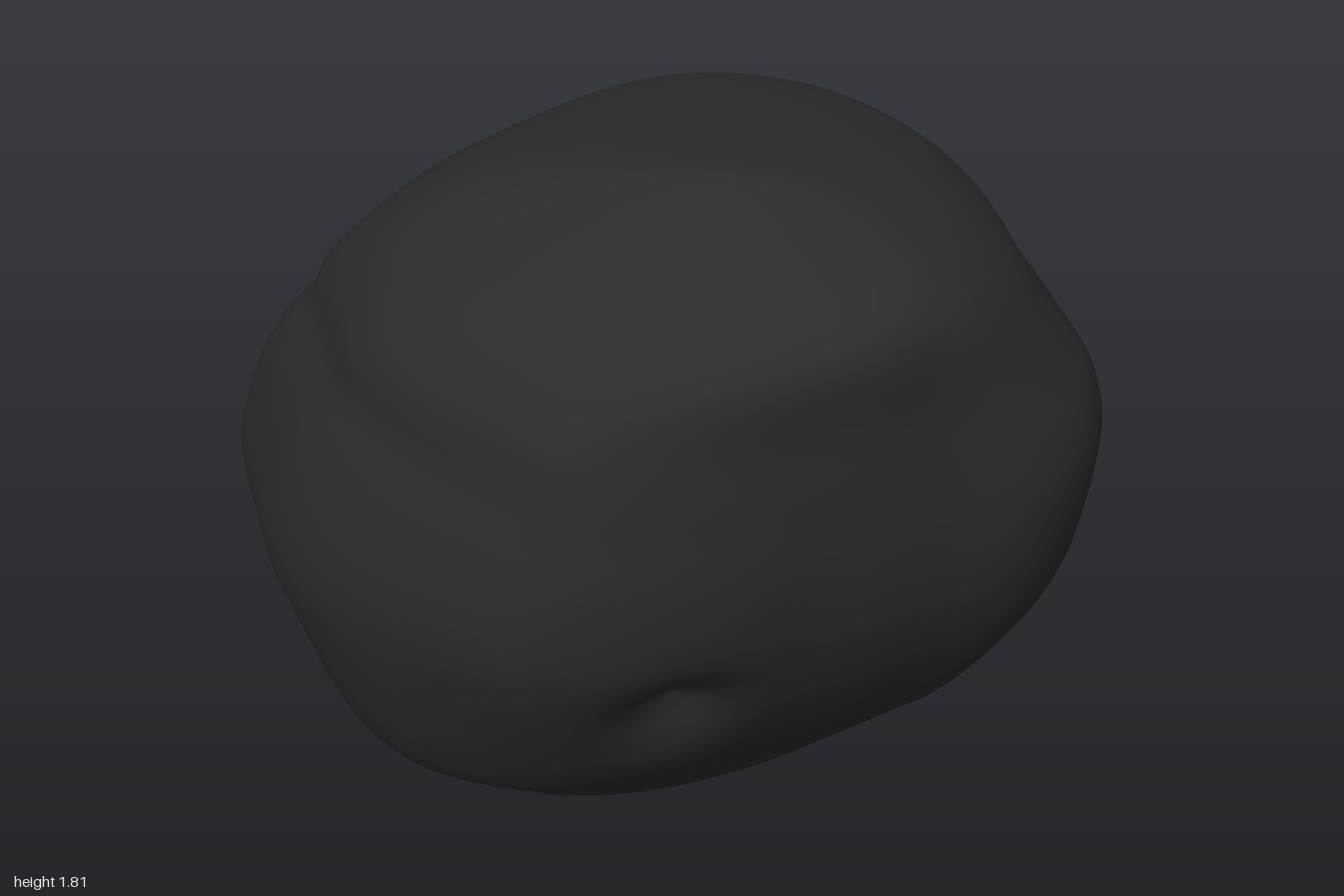
import * as THREE from 'three';

// plan outline of the boulder as x, z pairs, scaled to each level
const OUTLINE = [
  [-1, -0.05], [-0.94, -0.22], [-0.86, -0.4], [-0.78, -0.48], [-0.65, -0.63], [-0.5, -0.76],
  [-0.35, -0.82], [-0.2, -0.855], [0, -0.875], [0.2, -0.845], [0.4, -0.78], [0.6, -0.64],
  [0.8, -0.46], [0.88, -0.33], [0.95, -0.15], [1, 0], [0.98, 0.2], [0.92, 0.32], [0.85, 0.4],
  [0.7, 0.49], [0.55, 0.59], [0.4, 0.67], [0.2, 0.78], [0, 0.85], [-0.2, 0.87], [-0.3, 0.84],
  [-0.45, 0.76], [-0.6, 0.67], [-0.75, 0.54], [-0.85, 0.4], [-0.91, 0.25], [-0.97, 0.1],
];

// levels: y, left x, right x, back z, front z
const LEVELS = [
  [0, -0.1, -0.1, -0.15, -0.15], [0.01, -0.22, 0.0, -0.3, 0.03], [0.05, -0.42, 0.2, -0.42, 0.2],
  [0.1, -0.57, 0.33, -0.5, 0.3], [0.2, -0.68, 0.55, -0.62, 0.39], [0.3, -0.76, 0.69, -0.71, 0.48],
  [0.4, -0.81, 0.78, -0.76, 0.58], [0.6, -0.92, 0.9, -0.85, 0.72], [0.77, -0.99, 0.96, -0.87, 0.81],
  [0.92, -0.99, 0.985, -0.865, 0.86], [1.1, -0.93, 1, -0.83, 0.87], [1.23, -0.86, 0.97, -0.77, 0.855],
  [1.32, -0.79, 0.92, -0.72, 0.845], [1.43, -0.74, 0.85, -0.64, 0.83], [1.55, -0.63, 0.77, -0.56, 0.79],
  [1.63, -0.52, 0.68, -0.49, 0.71], [1.69, -0.4, 0.57, -0.37, 0.57], [1.75, -0.19, 0.42, -0.1, 0.44],
  [1.8, 0.03, 0.25, 0.17, 0.34], [1.81, 0.13, 0.13, 0.28, 0.28],
];

// hollows (positive depth) and swellings (negative): x, y, z, radius, depth
const DENTS = [
  [0.1, 0.67, 0.73, 0.12, 0.09],
  [0.76, 0.64, -0.47, 0.18, 0.09],
  [0.6, 1.1, 0.6, 0.26, 0.02],
  [-0.5, 0.4, 0.42, 0.34, -0.11],
  [0.5, 1.62, 0.5, 0.28, -0.05],
  [-0.42, 1.6, -0.35, 0.35, 0.045],
];

const { clamp, lerp, smoothstep } = THREE.MathUtils;

const catmull = (a, b, c, d, t) =>
  0.5 * (2 * b + (c - a) * t + (2 * a - 5 * b + 4 * c - d) * t * t + (3 * b - a - 3 * c + d) * t * t * t);

function levelAt(s) {
  const i = Math.min(Math.floor(s), LEVELS.length - 2);
  const row = (k) => LEVELS[clamp(k, 0, LEVELS.length - 1)];
  return LEVELS[0].map((_, c) => catmull(row(i - 1)[c], row(i)[c], row(i + 1)[c], row(i + 2)[c], s - i));
}

function boulderGeometry() {
  const cols = 96, rows = (LEVELS.length - 1) * 3;
  const curve = new THREE.CatmullRomCurve3(OUTLINE.map(([x, z]) => new THREE.Vector3(x, 0, z / 0.87)), true);
  const ring = curve.getSpacedPoints(cols).slice(0, cols);
  const center = new THREE.Vector3(0, 0.9, 0);
  const pos = [], index = [];

  const addPoint = (x, y, z) => {
    const p = new THREE.Vector3(x, y, z);
    let push = 0;
    for (const [dx, dy, dz, r, depth] of DENTS) {
      const d2 = (x - dx) ** 2 + (y - dy) ** 2 + (z - dz) ** 2;
      push += depth * Math.exp(-d2 / (r * r));
    }
    p.addScaledVector(center.clone().sub(p).normalize(), push);
    pos.push(p.x, p.y, p.z);
  };

  // rings between the two poles, rounder towards the ends
  for (let i = 1; i < rows; i++) {
    const [y, x0, x1, z0, z1] = levelAt(i / 3);
    const round = smoothstep(y, 1.35, 1.75) + 1 - smoothstep(y, 0.03, 0.4);
    for (const p of ring) {
      const scale = lerp(1, 1 / p.length(), round) / 2;
      addPoint((x0 + x1) / 2 + p.x * scale * (x1 - x0), y, (z0 + z1) / 2 + p.z * scale * (z1 - z0));
    }
  }
  const bottom = pos.length / 3, top = bottom + 1;
  const first = LEVELS[0], last = LEVELS[LEVELS.length - 1];
  addPoint(first[1], first[0], first[3]);
  addPoint(last[1], last[0], last[3]);

  for (let j = 0; j < cols; j++) {
    const k = (j + 1) % cols;
    for (let i = 0; i < rows - 2; i++) {
      const a = i * cols + j, b = i * cols + k;
      index.push(a, a + cols, b, b, a + cols, b + cols);
    }
    const end = (rows - 2) * cols;
    index.push(bottom, j, k, top, end + k, end + j);
  }

  const geo = new THREE.BufferGeometry();
  geo.setAttribute('position', new THREE.Float32BufferAttribute(pos, 3));
  geo.setIndex(index);
  geo.computeVertexNormals();
  return geo;
}

export function createModel() {
  const group = new THREE.Group();
  group.name = 'rock';
  const charcoal = new THREE.MeshStandardMaterial({ color: 0x2b2b2b });
  charcoal.name = 'charcoal';
  const boulder = new THREE.Mesh(boulderGeometry(), charcoal);
  boulder.name = 'boulder';
  group.add(boulder);
  return group;
}
